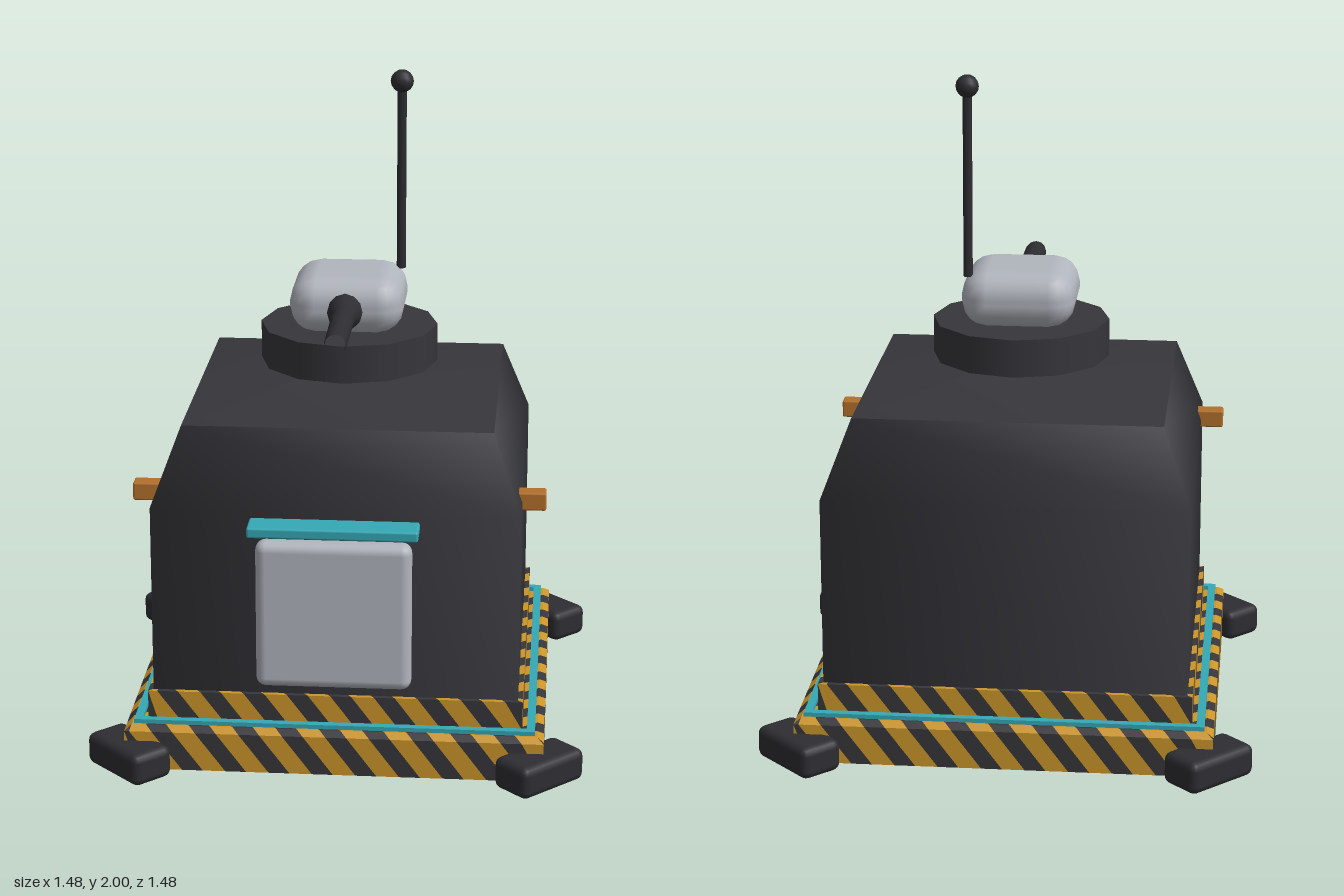
import * as THREE from 'three';
import { RoundedBoxGeometry } from 'three/addons/geometries/RoundedBoxGeometry.js';

const material = (name, color) => {
  const m = new THREE.MeshStandardMaterial({ color });
  m.name = name;
  return m;
};

// One colour of the diagonal stripes on one side of a square plinth.
// profile: [half width, height] points from bottom to top.
function stripeGeometry(profile, period, slant, start, end) {
  const positions = [];
  let run = 0;
  for (let i = 0; i < profile.length - 1; i++) {
    const [h0, y0] = profile[i];
    const [h1, y1] = profile[i + 1];
    const next = run + Math.hypot(h1 - h0, y1 - y0);
    const at = (u, s, h) => THREE.MathUtils.clamp(u - slant * s, -h, h);
    for (let k = -8; k < 16; k++) {
      const a = (k + start) * period;
      const b = (k + end) * period;
      const a0 = at(a, run, h0), b0 = at(b, run, h0);
      const a1 = at(a, next, h1), b1 = at(b, next, h1);
      if (b0 - a0 > 1e-5) positions.push(a0, y0, h0, b0, y0, h0, b1, y1, h1);
      if (b1 - a1 > 1e-5) positions.push(a0, y0, h0, b1, y1, h1, a1, y1, h1);
    }
    run = next;
  }
  const g = new THREE.BufferGeometry();
  g.setAttribute('position', new THREE.Float32BufferAttribute(positions, 3));
  g.computeVertexNormals();
  return g;
}

export function createModel() {
  const model = new THREE.Group();
  model.name = 'turretBunker';

  const charcoal = material('charcoal', 0x36363b);
  const black = material('blackMetal', 0x2d2d32);
  const yellow = material('hazardYellow', 0xcb952a);
  const teal = material('teal', 0x35a9b6);
  const orange = material('orange', 0xb3702b);
  const grey = material('lightGrey', 0xb1b5bd);

  const add = (name, geometry, mat, x = 0, y = 0, z = 0, parent = model) => {
    const mesh = new THREE.Mesh(geometry, mat);
    mesh.name = name;
    mesh.position.set(x, y, z);
    parent.add(mesh);
    return mesh;
  };

  // Stepped plinth with hazard stripes, teal trim and a plain underside
  const plinthProfile = [[0.625, 0.01], [0.625, 0.13], [0.605, 0.145], [0.56, 0.145], [0.56, 0.235], [0.53, 0.235]];
  const yellowStripes = stripeGeometry(plinthProfile, 0.13, 0.75, 0, 0.52);
  const darkStripes = stripeGeometry(plinthProfile, 0.13, 0.75, 0.52, 1);
  for (let i = 0; i < 4; i++) {
    const side = new THREE.Group();
    side.name = 'plinthSide';
    side.rotation.y = i * Math.PI / 2;
    model.add(side);
    add('yellowStripes', yellowStripes, yellow, 0, 0, 0, side);
    add('darkStripes', darkStripes, charcoal, 0, 0, 0, side);
    add('tealTrim', new THREE.BoxGeometry(1.196, 0.016, 0.024), teal, 0, 0.15, 0.586, side);

    // Corner foot, turned to face outward along the diagonal
    const foot = add('cornerFoot', new RoundedBoxGeometry(0.25, 0.1, 0.14, 2, 0.025), black, 0.6125, 0.05, 0.6125, side);
    foot.rotation.y = Math.PI / 4;
  }
  const underside = add('underside', new THREE.PlaneGeometry(1.25, 1.25), charcoal, 0, 0.01, 0);
  underside.rotation.x = Math.PI / 2;

  // Square body with softly shaded corners and an inward-leaning shoulder
  const bodyProfile = [[0.545, 0.2], [0.545, 0.81], [0.46, 1.04]]
    .map(([h, y]) => new THREE.Vector2(h * Math.SQRT2, y));
  add('body', new THREE.LatheGeometry(bodyProfile, 4, Math.PI / 4), charcoal);
  add('roof', new THREE.ConeGeometry(0.46 * Math.SQRT2, 0.08, 4, 1, true, Math.PI / 4), charcoal, 0, 1.08, 0);

  // Door and its canopy
  add('door', new RoundedBoxGeometry(0.46, 0.455, 0.07, 3, 0.03), grey, 0, 0.507, 0.582);
  add('doorCanopy', new RoundedBoxGeometry(0.5, 0.032, 0.095, 2, 0.007), teal, 0, 0.776, 0.597);

  // Side lamps
  for (const s of [-1, 1]) {
    add(s > 0 ? 'leftLamp' : 'rightLamp', new RoundedBoxGeometry(0.085, 0.055, 0.055, 2, 0.006), orange, s * 0.573, 0.812, 0.383);
  }

  // Turret
  const turret = new THREE.Group();
  turret.name = 'turret';
  model.add(turret);
  add('turntable', new THREE.CylinderGeometry(0.27, 0.27, 0.115, 12), charcoal, 0, 1.178, 0, turret);
  add('turretHead', new RoundedBoxGeometry(0.345, 0.175, 0.345, 2, 0.08), grey, 0, 1.32, 0, turret);

  // Open barrel with a flared root
  const barrelProfile = [[0.055, 0.14], [0.052, 0.19], [0.036, 0.25], [0.034, 0.5], [0.031, 0.52]]
    .map(([r, z]) => new THREE.Vector2(r, z));
  const barrel = add('barrel', new THREE.LatheGeometry(barrelProfile, 12), black, 0, 1.315, 0, turret);
  barrel.rotation.x = Math.PI / 2;

  // Antenna
  add('antennaRod', new THREE.CylinderGeometry(0.014, 0.014, 0.57, 8), black, 0.152, 1.67, -0.097, turret);
  add('antennaTip', new THREE.SphereGeometry(0.035, 12, 8), black, 0.152, 1.965, -0.097, turret);

  return model;
}
